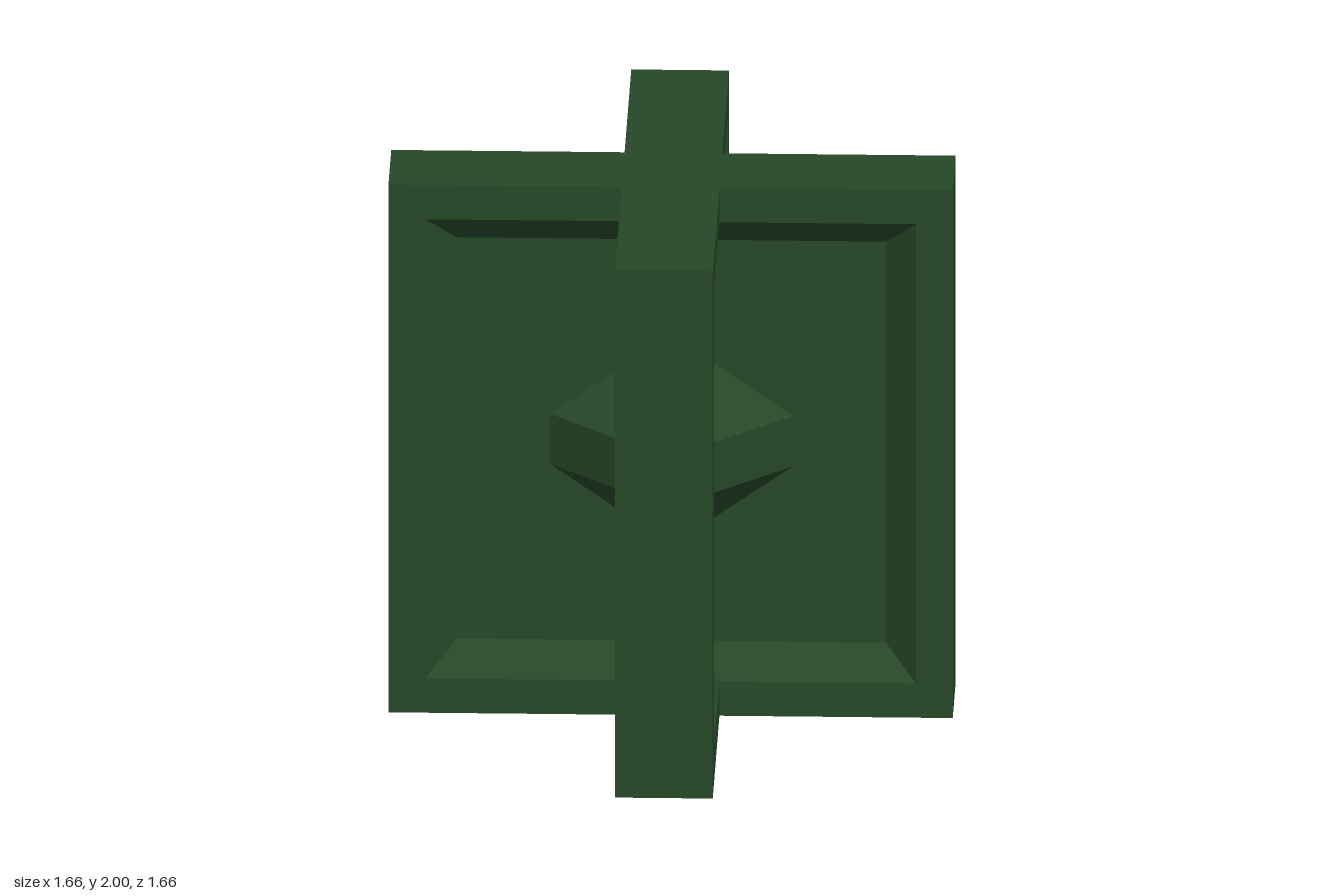
import * as THREE from 'three';

// Square-sided solid about the y axis; profile is [half width, height], bottom to top
function squareTurned(profile) {
  const points = profile.map(([half, y]) => new THREE.Vector2(half * Math.SQRT2, y));
  const geometry = new THREE.LatheGeometry(points, 4, Math.PI / 4).toNonIndexed();
  geometry.computeVertexNormals();
  return geometry;
}

export function createModel() {
  const model = new THREE.Group();
  const darkGreen = new THREE.MeshStandardMaterial({ color: 0x264727, flatShading: true });
  darkGreen.name = 'darkGreen';

  // Two crossed square slabs, each with a bevelled recess on both faces
  const slabGeometry = squareTurned([
    [0, -0.06], [0.76, -0.06], [0.87, -0.173], [1, -0.173],
    [1, 0.173], [0.87, 0.173], [0.76, 0.06], [0, 0.06],
  ]);
  slabGeometry.rotateX(Math.PI / 2);
  [1, -1].forEach((side) => {
    const slab = new THREE.Mesh(slabGeometry, darkGreen);
    slab.name = side > 0 ? 'crossSlabA' : 'crossSlabB';
    slab.position.y = 1;
    slab.rotation.y = side * Math.PI / 4;
    model.add(slab);
  });

  // Square hub with pyramid top and bottom, at the crossing
  const hub = new THREE.Mesh(
    squareTurned([[0, -0.44], [0.347, -0.095], [0.347, 0.095], [0, 0.44]]),
    darkGreen
  );
  hub.name = 'centreHub';
  hub.position.y = 1;
  model.add(hub);

  return model;
}
